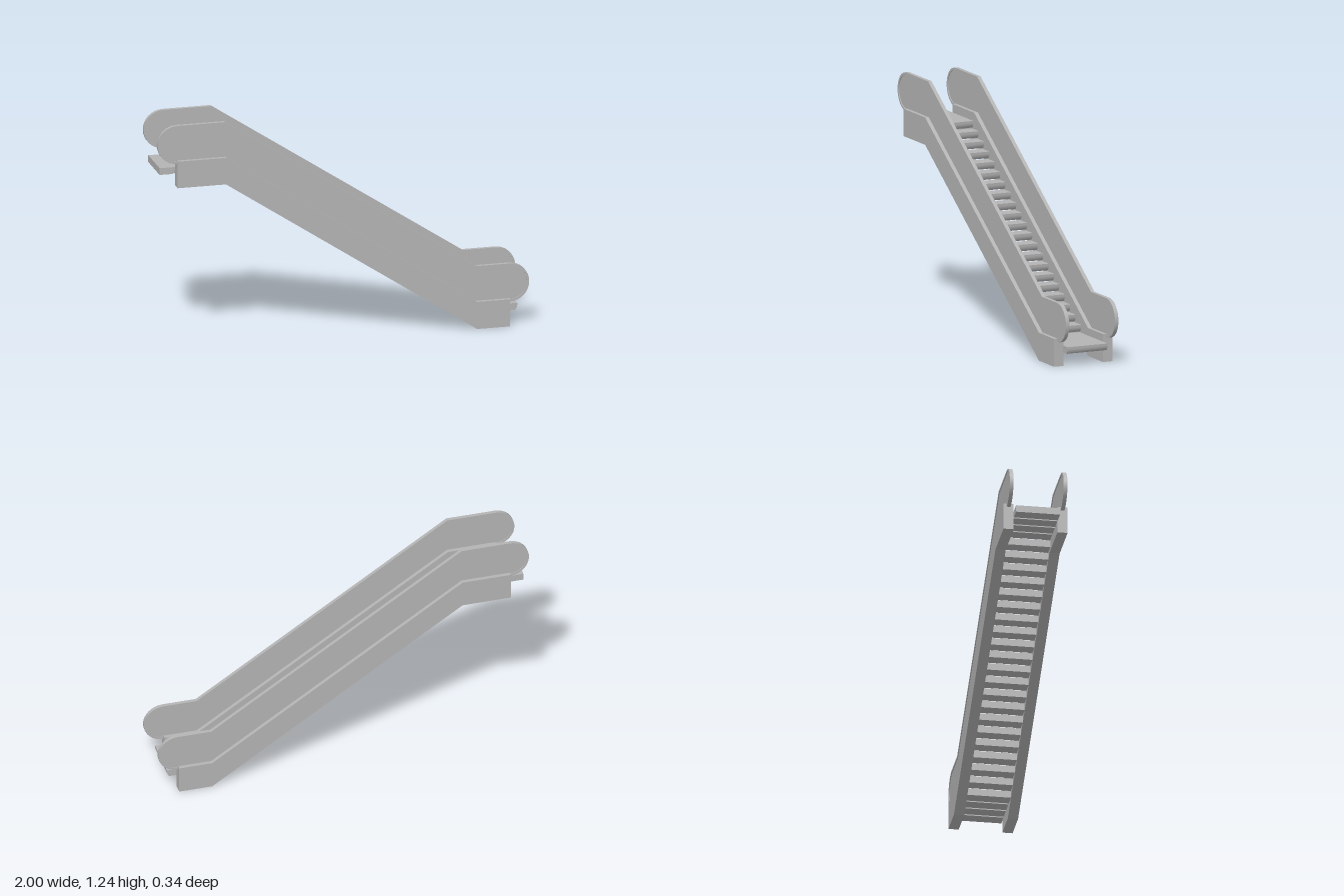
import * as THREE from 'three';
import { toCreasedNormals } from 'three/addons/utils/BufferGeometryUtils.js';

const HALF_PI = Math.PI / 2;

// Rail outline from the upper end loop to the lower one, moved inward by t
function railPath(t) {
  const r = 0.104 - t, pts = [], n = 16;
  for (let i = 0; i <= n; i++) {
    const a = -HALF_PI - (Math.PI * i) / n;
    pts.push(new THREE.Vector2(-0.896 + r * Math.cos(a), 1.131 + r * Math.sin(a)));
  }
  pts.push(new THREE.Vector2(-0.637 - 0.3 * t, 1.235 - t));
  pts.push(new THREE.Vector2(0.715 - 0.3 * t, 0.338 - t));
  for (let i = 0; i <= n; i++) {
    const a = HALF_PI - (Math.PI * i) / n;
    pts.push(new THREE.Vector2(0.896 + r * Math.cos(a), 0.234 + r * Math.sin(a)));
  }
  return pts;
}

// Extrude a side profile across z, centred on z
function slab(points, width, z, material, name) {
  const geo = new THREE.ExtrudeGeometry(new THREE.Shape(points), { depth: width, bevelEnabled: false });
  geo.translate(0, 0, z - width / 2);
  const mesh = new THREE.Mesh(toCreasedNormals(geo, 0.45), material);
  mesh.name = name;
  return mesh;
}

const vectors = (list) => list.map(([x, y]) => new THREE.Vector2(x, y));

export function createModel() {
  const model = new THREE.Group();
  model.name = 'escalator';
  const grey = new THREE.MeshStandardMaterial({ color: 0xb4b4b4 });
  grey.name = 'grey';

  // Side skirts, glass panels and handrails
  const skirt = vectors([
    [-0.897, 0.9], [-0.637, 0.9], [0.715, 0], [0.893, 0],
    [0.893, 0.148], [0.715, 0.148], [-0.637, 1.045], [-0.897, 1.045],
  ]);
  const panel = [
    ...railPath(0.011),
    ...vectors([[0.715, 0.135], [-0.637, 1.03]]),
  ];
  const rail = [...railPath(0), ...railPath(0.012).reverse()];
  for (const side of [1, -1]) {
    const name = side > 0 ? 'front' : 'back';
    const group = new THREE.Group();
    group.name = name + 'Balustrade';
    group.add(
      slab(skirt, 0.054, side * 0.142, grey, name + 'Skirt'),
      slab(panel, 0.012, side * 0.142, grey, name + 'Panel'),
      slab(rail, 0.02, side * 0.142, grey, name + 'Handrail'),
    );
    model.add(group);
  }

  // One step with a curved riser; its nose is at the origin
  const stepProfile = vectors([
    [0, 0], [-0.083, 0], [-0.083, -0.037], [-0.012, -0.037],
    [-0.006, -0.03], [-0.002, -0.02], [0, -0.01],
  ]);
  const stepMesh = slab(stepProfile, 0.232, 0, grey, 'step');
  const steps = new THREE.Group();
  steps.name = 'steps';
  const addStep = (x, y) => {
    const step = stepMesh.clone();
    step.position.set(x, y, 0);
    steps.add(step);
  };

  // Upper landing, incline, lower landing
  for (let i = 0; i < 4; i++) addStep(-0.897 + i * 0.083, 1);
  const count = 21;
  for (let i = 1; i <= count; i++) {
    addStep(-0.648 + (i / count) * 1.344, 1 - (i / count) * 0.892);
  }
  for (let i = 1; i <= 3; i++) addStep(0.696 + i * 0.083, 0.108);
  model.add(steps);

  return model;
}
